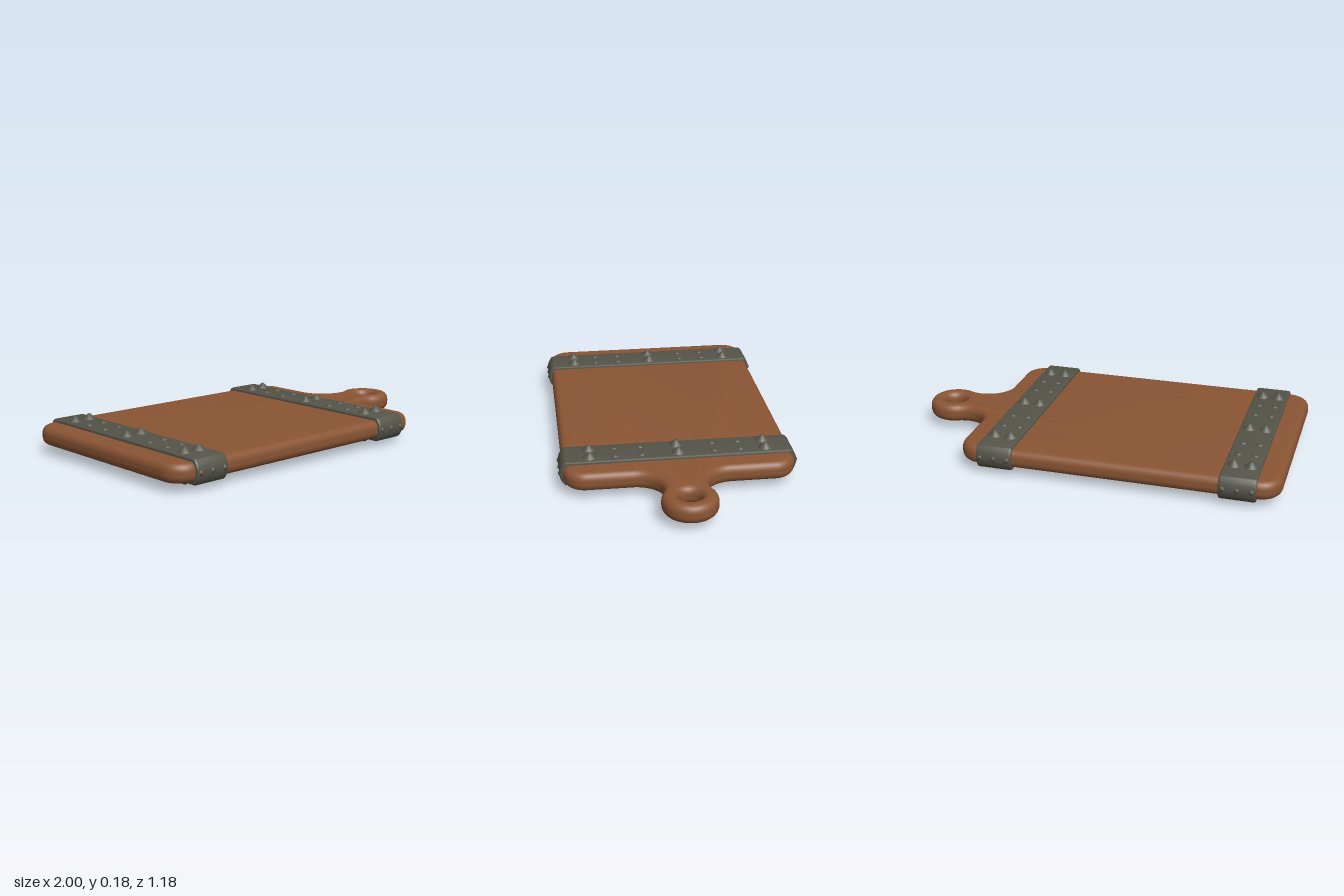
import * as THREE from 'three';
import { toCreasedNormals } from 'three/addons/utils/BufferGeometryUtils.js';

const MID = 0.091; // height of the board's middle plane

// Extrude a shape to a total depth, rounded inside its outline, centred on its middle plane
function roundedSlab(shape, depth, bevelSize, bevelThickness, bevelSegments, crease) {
  const geo = new THREE.ExtrudeGeometry(shape, {
    depth: depth - 2 * bevelThickness, bevelEnabled: true,
    bevelSize, bevelThickness, bevelOffset: -bevelSize, bevelSegments, curveSegments: 20,
  });
  geo.translate(0, 0, -(depth / 2 - bevelThickness));
  return toCreasedNormals(geo, crease);
}

// Outline: rounded rectangle flowing through a neck into a round handle
function boardShape() {
  const x0 = -1, x1 = 0.62, h = 0.57, r = 0.11, f = 0.13, fz = 0.24, P = Math.PI;
  const hx = 0.86, hr = 0.135, a = Math.atan2(fz, hx - x1 - f);
  const s = new THREE.Shape();
  s.moveTo(x0 + r, -h);
  s.absarc(x1 - r, -h + r, r, -P / 2, 0, false);
  s.absarc(x1 + f, -fz, f, P, a, true);
  s.absarc(hx, 0, hr, a - P, P - a, false);
  s.absarc(x1 + f, fz, f, -a, -P, true);
  s.absarc(x1 - r, h - r, r, 0, P / 2, false);
  s.absarc(x0 + r, h - r, r, P / 2, P, false);
  s.absarc(x0 + r, -h + r, r, P, 1.5 * P, false);
  const hole = new THREE.Path();
  hole.absarc(hx, 0, 0.056, 0, 2 * P, true);
  s.holes.push(hole);
  return s;
}

// Band cross-section, rounded at both ends
function bandShape() {
  const s = new THREE.Shape();
  const e = 0.55, t = 0.062, w = 0.586;
  s.moveTo(-e, -t);
  s.lineTo(e, -t);
  s.bezierCurveTo(e + 0.02, -t, w, -0.025, w, 0);
  s.bezierCurveTo(w, 0.025, e + 0.02, t, e, t);
  s.lineTo(-e, t);
  s.bezierCurveTo(-e - 0.02, t, -w, 0.025, -w, 0);
  s.bezierCurveTo(-w, -0.025, -e - 0.02, -t, -e, -t);
  return s;
}

export function createModel() {
  const wood = new THREE.MeshStandardMaterial({ color: 0x8a5534 });
  wood.name = 'wood';
  const iron = new THREE.MeshStandardMaterial({ color: 0x54544a });
  iron.name = 'iron';
  const model = new THREE.Group();
  model.name = 'cuttingBoard';

  const add = (parent, name, geo, mat, x = 0, y = 0, z = 0) => {
    const mesh = new THREE.Mesh(geo, mat);
    mesh.name = name;
    mesh.position.set(x, y, z);
    parent.add(mesh);
    return mesh;
  };

  // Board with handle
  const boardGeo = roundedSlab(boardShape(), 0.094, 0.032, 0.04, 6, 0.6);
  boardGeo.rotateX(-Math.PI / 2);
  add(model, 'board', boardGeo, wood, 0, MID, 0);

  // Shared band and stud geometries
  const bandGeo = roundedSlab(bandShape(), 0.182, 0.008, 0.012, 3, 0.6);
  bandGeo.rotateY(Math.PI / 2);
  const lathe = (pts) => new THREE.LatheGeometry(pts.map(([r, y]) => new THREE.Vector2(r, y)), 16);
  const spikeGeo = lathe([[0.036, -0.003], [0.032, 0.003], [0.02, 0.014], [0.009, 0.025], [0, 0.029]]);
  const rivetGeo = lathe([[0.019, -0.003], [0.017, 0.003], [0.01, 0.007], [0, 0.008]]);
  const endGeo = new THREE.SphereGeometry(0.017, 12, 8);

  [['leftBand', 0.42], ['rightBand', -0.797]].forEach(([name, x]) => {
    const band = new THREE.Group();
    band.name = name;
    band.position.set(x, MID, 0);
    model.add(band);
    add(band, 'strap', bandGeo, iron);

    // Two rows of studs on the top and underside
    for (const side of [1, -1]) {
      for (const sx of [-0.042, 0.042]) {
        for (const z of [-0.435, 0, 0.435]) {
          add(band, 'spike', spikeGeo, iron, sx, side * 0.062, z).rotation.x = side > 0 ? 0 : Math.PI;
        }
        for (const z of [-0.31, -0.18, 0.18, 0.31]) {
          add(band, 'rivet', rivetGeo, iron, sx, side * 0.062, z).rotation.x = side > 0 ? 0 : Math.PI;
        }
      }
      // Knobs around the wrapped ends
      for (const ex of [-0.07, 0, 0.07]) {
        add(band, 'endKnob', endGeo, iron, ex, 0, side * 0.575);
      }
    }
  });
  return model;
}
